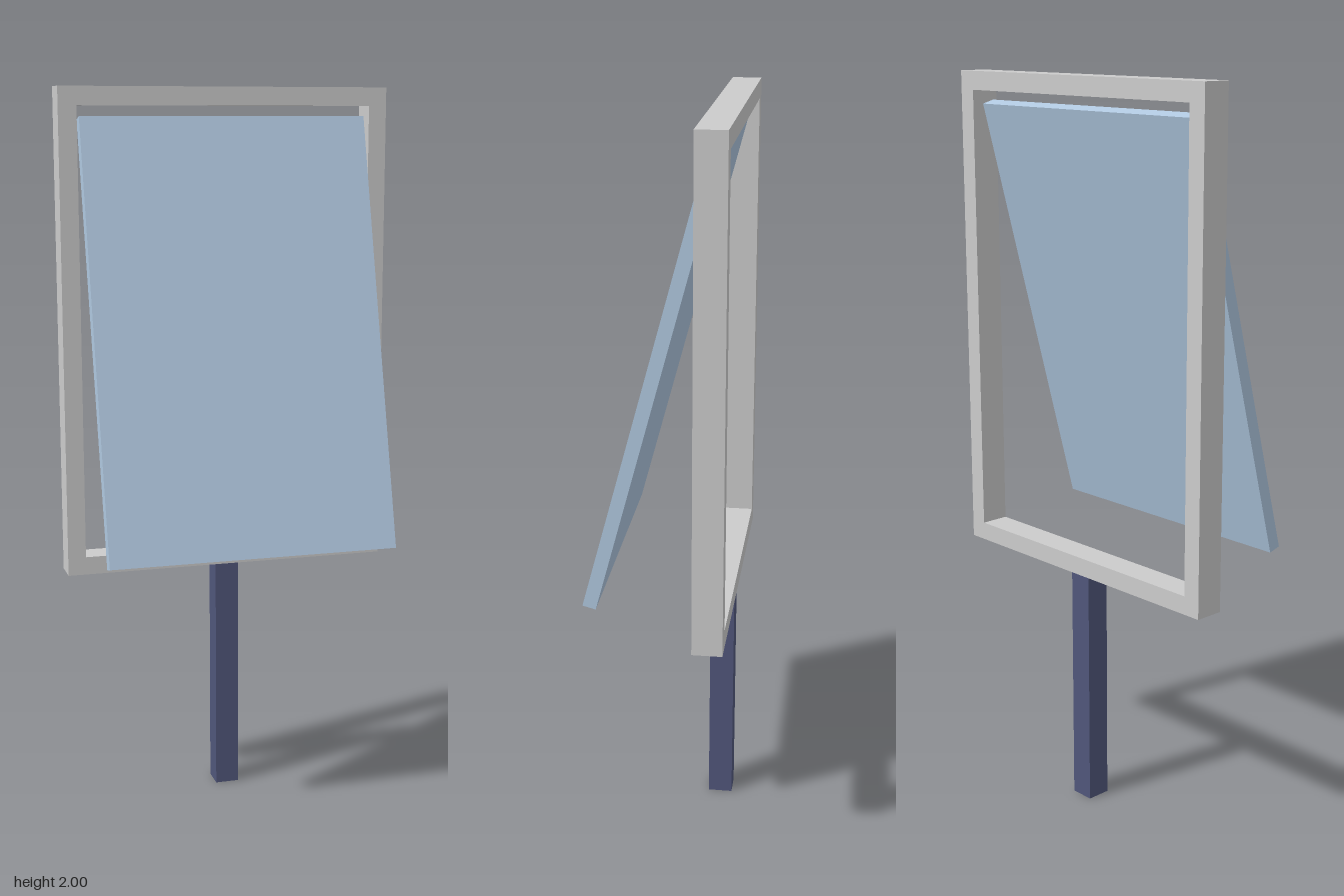
import * as THREE from 'three';

const rect = (path, x, y0, y1) => {
  path.moveTo(-x, y0);
  path.lineTo(x, y0);
  path.lineTo(x, y1);
  path.lineTo(-x, y1);
  path.closePath();
  return path;
};

function addPart(group, name, geometry, color, position) {
  const mesh = new THREE.Mesh(geometry, new THREE.MeshStandardMaterial({ color }));
  mesh.name = name;
  mesh.position.set(...position);
  group.add(mesh);
  return mesh;
}

export function createModel() {
  const model = new THREE.Group();
  model.name = 'signStand';

  // Square post
  addPart(model, 'post', new THREE.BoxGeometry(0.067, 0.67, 0.067), 0x50567a, [0, 0.335, -0.144]);

  // Rectangular frame with an open middle
  const outline = rect(new THREE.Shape(), 0.459, 0.67, 2);
  outline.holes.push(rect(new THREE.Path(), 0.409, 0.72, 1.95));
  const frame = new THREE.ExtrudeGeometry(outline, { depth: 0.08, bevelEnabled: false });
  addPart(model, 'frame', frame, 0xcccccc, [0, 0, -0.187]);

  // Panel hinged near the top, its lower edge swung forward
  const panel = addPart(model, 'panel', new THREE.BoxGeometry(0.8, 1.2, 0.036), 0xb0c8e0, [0, 1.338, 0.012]);
  panel.rotation.x = -THREE.MathUtils.degToRad(15);

  return model;
}
